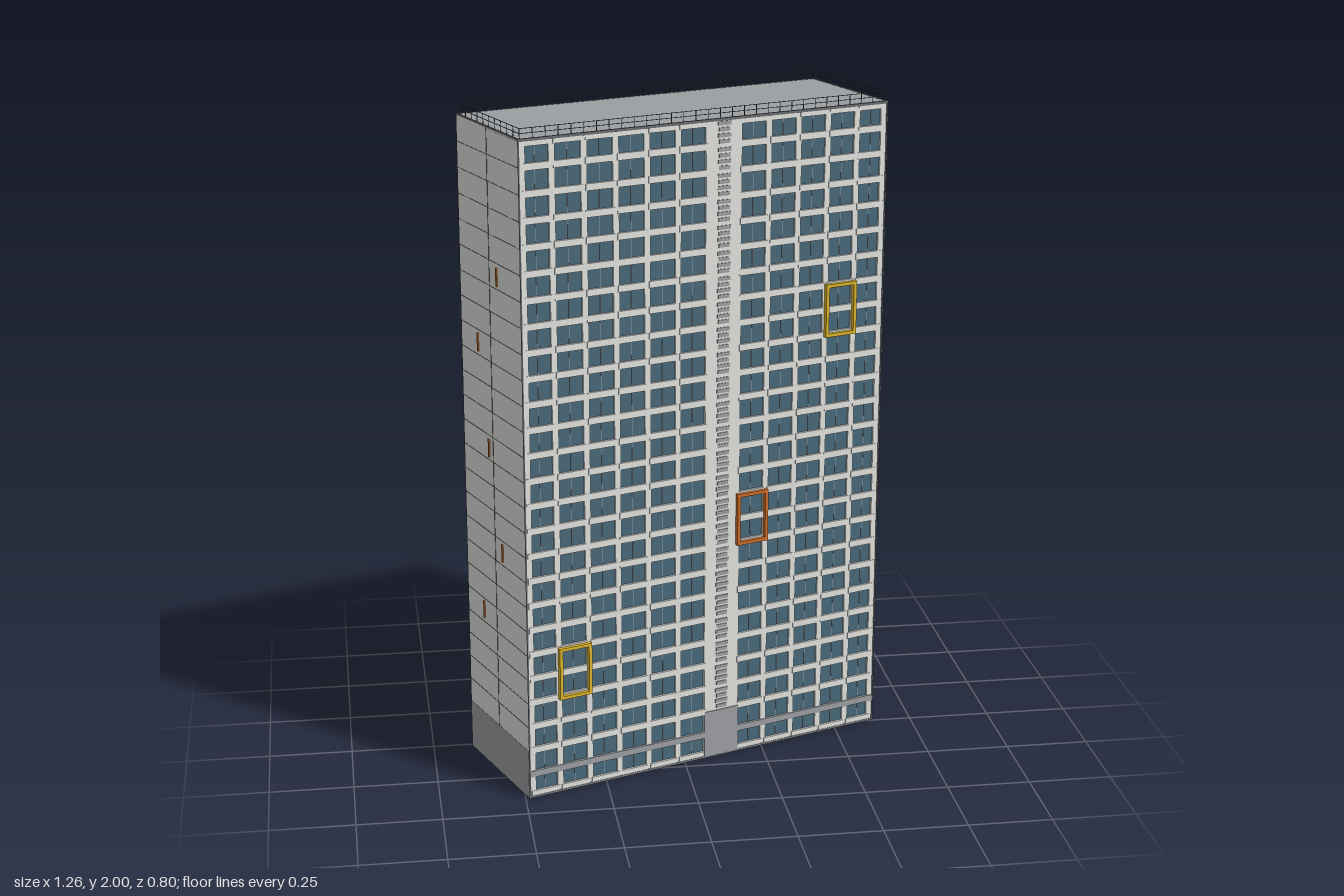
import * as THREE from 'three';
import { mergeGeometries } from 'three/addons/utils/BufferGeometryUtils.js';

const mat = (name, color) => new THREE.MeshStandardMaterial({ name, color });

// Main dimensions
const FLOORS = 26, BAYS = 12, STAIR = 6;
const H = 1.968, FH = H / FLOORS;
const A = 0.595, B = 0.21;            // half length, half depth
const BW = 1.182 / BAYS;              // bay width
const bayX = i => -0.591 + i * BW;    // left edge of a bay

// One mesh from many boxes, each [cx, cy, cz, width, height, depth]
function boxes(name, material, list) {
  const parts = list.map(([x, y, z, w, h, d]) => new THREE.BoxGeometry(w, h, d).translate(x, y, z));
  const mesh = new THREE.Mesh(mergeGeometries(parts), material);
  mesh.name = name;
  return mesh;
}

export function createModel() {
  const wall = mat('pale concrete', 0xe2e2de);
  const glass = mat('blue glass', 0x486879);
  const grey = mat('grey panel', 0x9c9fa2);
  const underside = mat('underside grey', 0x828486);
  const trim = mat('trim grey', 0x6a6d70);
  const dark = mat('dark metal', 0x4a4d50);
  const yellow = mat('yellow', 0xdeb62a);
  const orange = mat('orange', 0xd0702a);

  const tower = new THREE.Group();
  tower.name = 'tower';

  // Core: its long sides are the window panes
  tower.add(boxes('glazedCore', glass, [[0, H / 2, 0, 1.18, H - 0.01, 0.402]]));
  tower.add(boxes('basePlate', underside, [[0, 0.003, 0, 2 * A, 0.006, 2 * B]]));

  // Long facade, facing +z
  function facade() {
    const g = new THREE.Group();
    g.name = 'facade';
    const piers = [], mullions = [], slabs = [], lowSlabs = [], louvres = [];
    for (let i = 0; i <= BAYS; i++) {
      const x = Math.min(Math.max(bayX(i), -0.584), 0.584);
      piers.push([x, H / 2, 0.203, 0.019, H, 0.007]);
    }
    for (let i = 0; i < BAYS; i++) {
      if (i === STAIR) continue;
      const x = bayX(i) + BW / 2;
      mullions.push([x, H / 2, 0.2012, 0.0016, H, 0.003]);
      for (let f = 0; f <= FLOORS; f++) {
        const y = Math.min(Math.max(f * FH, 0.011), H - 0.008);
        if (f === 1) lowSlabs.push([x, y, 0.205, BW, 0.02, 0.009]);
        else slabs.push([x, y, 0.204, BW - 0.008, 0.02, 0.009]);
      }
    }
    // Stair bay: plain wall with a column of louvres above a grey plinth
    const sx = bayX(STAIR) + BW / 2;
    g.add(boxes('stairWall', wall, [[sx, H / 2, 0.202, BW + 0.018, H, 0.011]]));
    for (let f = 2; f < FLOORS; f++) {
      for (let k = 0; k < 4; k++) {
        louvres.push([sx, (f + 0.16 + k * 0.23) * FH, 0.2085, k % 2 ? 0.042 : 0.036, 0.0115, 0.003]);
      }
    }
    g.add(boxes('stairPlinth', grey, [[sx, FH, 0.2085, BW + 0.018, 2 * FH, 0.003]]));
    g.add(boxes('piers', wall, piers), boxes('mullions', grey, mullions));
    g.add(boxes('floorSlabs', wall, slabs), boxes('firstFloorBand', grey, lowSlabs));
    g.add(boxes('stairLouvres', grey, louvres));

    // Projecting coloured frames, each two floors high
    for (const [bay, floor, m] of [[1, 4, yellow], [7, 9, orange], [10, 17, yellow]]) {
      const x = bayX(bay) + BW / 2, y = (floor + 1) * FH, t = 0.01;
      const w = BW + 0.006, h = 2 * FH + 0.01, z = 0.211, d = 0.018;
      g.add(boxes('accentFrame', m, [
        [x - w / 2 + t / 2, y, z, t, h, d], [x + w / 2 - t / 2, y, z, t, h, d],
        [x, y - h / 2 + t / 2, z, w - 2 * t, t, d], [x, y + h / 2 - t / 2, z, w - 2 * t, t, d],
      ]));
    }
    return g;
  }

  // Narrow end wall, facing +x
  function endWall(hasEntrance) {
    const g = new THREE.Group();
    g.name = 'endWall';
    const joints = [[A, H / 2 + FH, 0, 0.002, H - 2 * FH, 0.0015]];
    for (let f = 3; f < FLOORS; f++) joints.push([A, f * FH, 0, 0.002, 0.0009, 2 * B - 0.01]);
    g.add(boxes('endPanel', wall, [[0.584, H / 2, 0, 0.022, H, 2 * B - 0.006]]));
    g.add(boxes('panelJoints', dark, joints));
    g.add(boxes('endPlinth', grey, [[0.595, FH, 0, 0.002, 2 * FH, 2 * B - 0.006]]));
    // Slim upright markers
    const marks = [[-0.051, 1.55], [0.09, 1.325], [0.028, 1.02], [-0.051, 0.72], [0.09, 0.495]];
    g.add(boxes('markerStrips', orange, marks.map(([z, y]) => [0.596, y, z, 0.004, 0.055, 0.008])));
    // Corner trims
    g.add(boxes('cornerTrims', trim, [-1, 1].map(s => [A - 0.002, H / 2, s * (B - 0.002), 0.004, H, 0.004])));
    if (hasEntrance) {
      const z = 0.005, w = 0.228, y = 0.067, h = 0.116;
      g.add(boxes('entranceGlass', glass, [[0.5965, y, z, 0.003, h, w]]));
      g.add(boxes('entranceFrame', trim, [
        [0.597, y + h / 2, z, 0.004, 0.005, w + 0.005], [0.597, y - h / 2, z, 0.004, 0.005, w + 0.005],
        [0.597, y, z - w / 2, 0.004, h, 0.005], [0.597, y, z + w / 2, 0.004, h, 0.005],
        [0.597, y, z, 0.004, h, 0.003],
      ]));
    }
    return g;
  }

  for (const turn of [0, Math.PI]) {
    const side = facade(), end = endWall(turn === 0);
    side.rotation.y = end.rotation.y = turn;
    tower.add(side, end);
  }

  // Roof with a darker coping
  tower.add(boxes('roof', grey, [[0, H - 0.002, 0, 2 * A - 0.01, 0.01, 2 * B - 0.01]]));
  tower.add(boxes('coping', trim, [
    ...[-1, 1].map(s => [0, H, s * (B - 0.003), 2 * A, 0.008, 0.006]),
    ...[-1, 1].map(s => [s * (A - 0.003), H, 0, 0.006, 0.008, 2 * B - 0.012]),
  ]));

  // Roof railing: posts and two rails on each edge
  const rail = [], rx = A - 0.009, rz = B - 0.009, t = 0.0016;
  for (const s of [-1, 1]) {
    for (const y of [1.985, 1.999]) {
      rail.push([0, y, s * rz, 2 * rx, t, t], [s * rx, y, 0, t, t, 2 * rz]);
    }
    for (let i = 0; i <= 30; i++) rail.push([-rx + i * rx / 15, 1.984, s * rz, t, 0.032, t]);
    for (let i = 1; i < 10; i++) rail.push([s * rx, 1.984, -rz + i * rz / 5, t, 0.032, t]);
  }
  tower.add(boxes('roofRailing', dark, rail));

  // The tower stands at an angle
  tower.rotation.y = THREE.MathUtils.degToRad(20);
  const model = new THREE.Group();
  model.name = 'apartmentTower';
  model.add(tower);
  return model;
}
